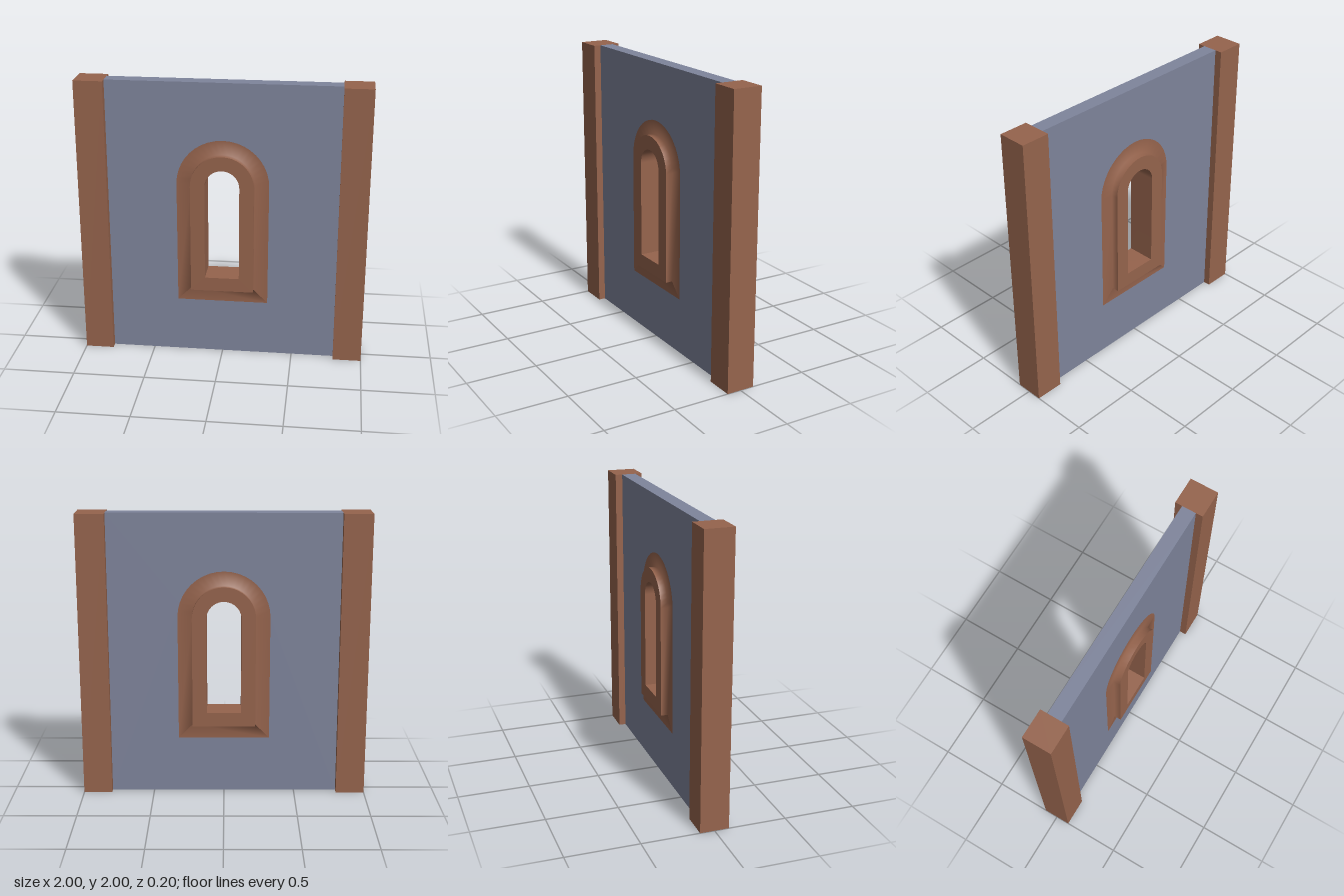
import * as THREE from 'three';

const BRICK = new THREE.MeshStandardMaterial({ color: 0x96644d });
const PLASTER = new THREE.MeshStandardMaterial({ color: 0x7f859c });
const SPRING_Y = 1.28; // height where the arch begins
const ARC_STEPS = 20;

// Arched outline of half width r, as two runs: the straight sill, then jambs and arch
function archRuns(r) {
  const bottom = 0.72 - r;
  const sill = [new THREE.Vector2(-r, bottom), new THREE.Vector2(r, bottom)];
  const arch = [new THREE.Vector2(r, bottom)];
  for (let i = 0; i <= ARC_STEPS; i++) {
    const a = (Math.PI * i) / ARC_STEPS;
    arch.push(new THREE.Vector2(r * Math.cos(a), SPRING_Y + r * Math.sin(a)));
  }
  arch.push(new THREE.Vector2(-r, bottom));
  return [sill, arch];
}

// Skin through arched outlines given as [half width, z]; smooth within one call
function loftArch(profile) {
  const positions = [], index = [];
  for (const run of [0, 1]) {
    const base = positions.length / 3;
    const rows = profile.map(([r]) => archRuns(r)[run]);
    const n = rows[0].length;
    rows.forEach((row, j) => row.forEach((p) => positions.push(p.x, p.y, profile[j][1])));
    for (let j = 0; j < rows.length - 1; j++) {
      for (let i = 0; i < n - 1; i++) {
        const a = base + j * n + i, b = a + 1, c = a + n, d = c + 1;
        index.push(a, b, c, b, d, c);
      }
    }
  }
  const geometry = new THREE.BufferGeometry();
  geometry.setAttribute('position', new THREE.Float32BufferAttribute(positions, 3));
  geometry.setIndex(index);
  geometry.computeVertexNormals();
  return geometry;
}

export function createModel() {
  const model = new THREE.Group();
  const add = (parent, name, geometry, material) => {
    const mesh = new THREE.Mesh(geometry, material);
    mesh.name = name;
    parent.add(mesh);
    return mesh;
  };

  // Wall panel, cut out where the window surround sits flush
  const panel = new THREE.Shape([
    new THREE.Vector2(-0.8, 0), new THREE.Vector2(0.8, 0),
    new THREE.Vector2(0.8, 2), new THREE.Vector2(-0.8, 2),
  ]);
  const [sill, arch] = archRuns(0.32);
  panel.holes.push(new THREE.Path([sill[0], ...arch.slice(0, -1)]));
  const wall = new THREE.ExtrudeGeometry(panel, { depth: 0.1, bevelEnabled: false });
  add(model, 'wallPanel', wall.translate(0, 0, -0.05), PLASTER);

  // Square posts at both ends
  for (const [name, side] of [['leftPost', 1], ['rightPost', -1]]) {
    add(model, name, new THREE.BoxGeometry(0.2, 2, 0.2), BRICK).position.set(side * 0.9, 1, 0);
  }

  // Arched window: flush surround blending into a raised frame, on both faces
  const win = new THREE.Group();
  win.name = 'window';
  model.add(win);
  add(win, 'frontSurround', loftArch([[0.32, 0.05], [0.22, 0.05], [0.22, 0.1]]), BRICK);
  add(win, 'frontFrameFace', loftArch([[0.22, 0.1], [0.12, 0.1]]), BRICK);
  add(win, 'reveal', loftArch([[0.12, 0.1], [0.12, -0.1]]), BRICK);
  add(win, 'backFrameFace', loftArch([[0.12, -0.1], [0.22, -0.1]]), BRICK);
  add(win, 'backSurround', loftArch([[0.22, -0.1], [0.22, -0.05], [0.32, -0.05]]), BRICK);

  return model;
}
